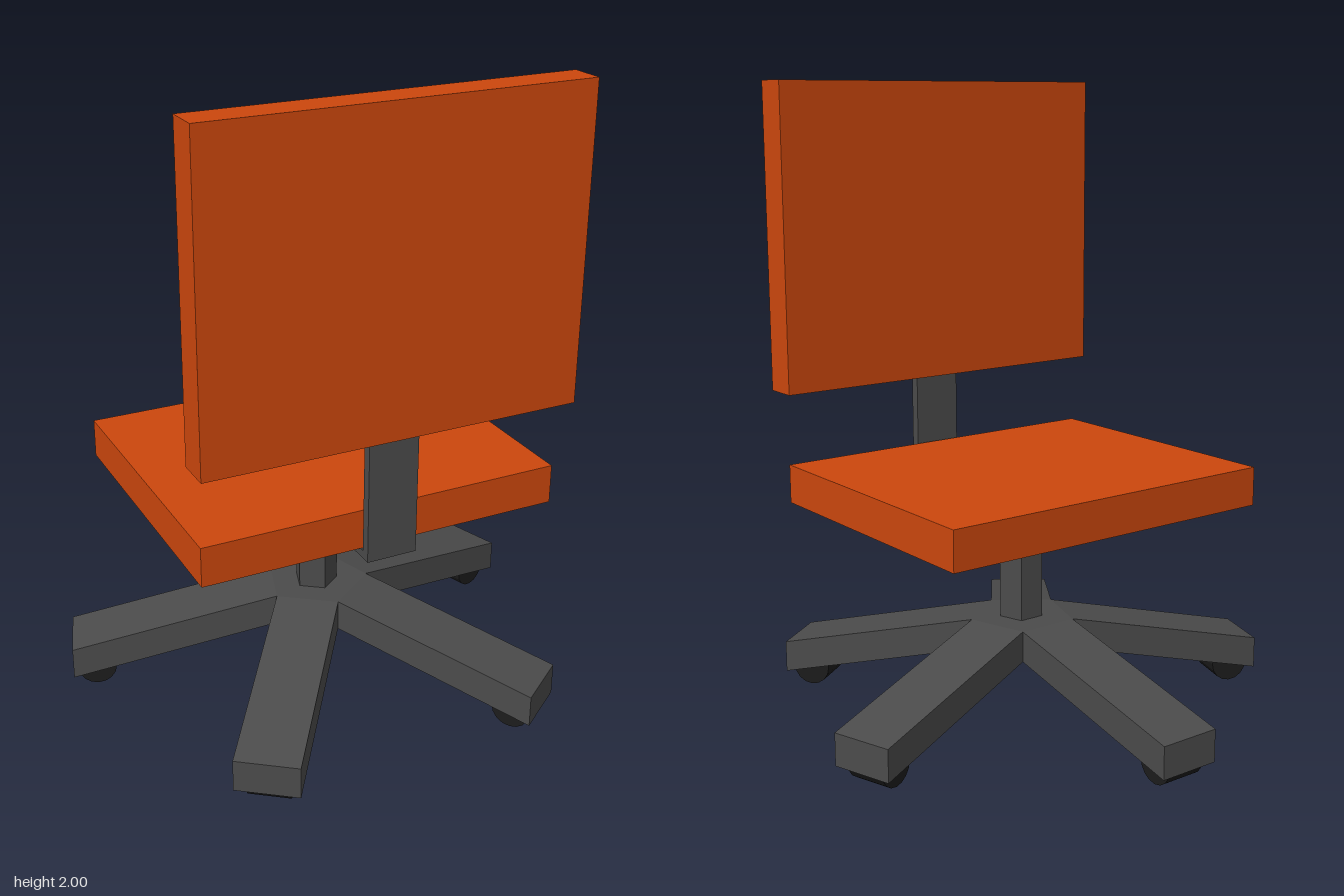
import * as THREE from 'three';

const orange = new THREE.MeshStandardMaterial({ color: 0xcc470d, flatShading: true });
const grey = new THREE.MeshStandardMaterial({ color: 0x4b4b4b, flatShading: true });
const black = new THREE.MeshStandardMaterial({ color: 0x1c1c1c, flatShading: true });

const AXIS_Z = 0.045; // column and star base centre
const LEGS = 5;
const LEG_HALF = 0.1;
const LEG_END = 0.8;
const HUB_R = LEG_HALF / Math.sin(Math.PI / LEGS);
const LEG_START = LEG_HALF / Math.tan(Math.PI / LEGS);

function add(parent, name, geometry, material, x = 0, y = 0, z = 0) {
  const mesh = new THREE.Mesh(geometry, material);
  mesh.name = name;
  mesh.position.set(x, y, z);
  parent.add(mesh);
  return mesh;
}

// box given by its width and its y and z ranges, centred on x = 0
function slab(parent, name, material, width, y0, y1, z0, z1) {
  const geometry = new THREE.BoxGeometry(width, y1 - y0, z1 - z0);
  return add(parent, name, geometry, material, 0, (y0 + y1) / 2, (z0 + z1) / 2);
}

// sloping leg profile, extruded across its width and pointing along +z
function legGeometry() {
  const shape = new THREE.Shape([
    new THREE.Vector2(LEG_START, 0.2),
    new THREE.Vector2(LEG_END, 0.05),
    new THREE.Vector2(LEG_END, 0.153),
    new THREE.Vector2(LEG_START, 0.3),
  ]);
  return new THREE.ExtrudeGeometry(shape, { depth: 2 * LEG_HALF, bevelEnabled: false })
    .translate(0, 0, -LEG_HALF)
    .rotateY(-Math.PI / 2);
}

export function createModel() {
  const chair = new THREE.Group();
  chair.name = 'officeChair';

  // cushions
  slab(chair, 'seat', orange, 1.16, 0.67, 0.795, -0.415, 0.51);
  slab(chair, 'backrest', orange, 1.195, 1.03, 2, 0.465, 0.575);

  // L-shaped bracket joining seat and backrest
  const bracket = new THREE.Group();
  bracket.name = 'backBracket';
  chair.add(bracket);
  slab(bracket, 'bracketUpright', grey, 0.16, 0.645, 1.035, 0.525, 0.555);
  slab(bracket, 'bracketFoot', grey, 0.16, 0.645, 0.67, 0.345, 0.525);

  // five-sided column
  add(chair, 'column', new THREE.CylinderGeometry(0.071, 0.071, 0.38, 5), grey, 0, 0.485, AXIS_Z + 0.004);

  // star base: pentagonal hub, legs growing from its faces
  const base = new THREE.Group();
  base.name = 'starBase';
  base.position.z = AXIS_Z;
  chair.add(base);
  add(base, 'hub', new THREE.CylinderGeometry(HUB_R, HUB_R, 0.1, LEGS), grey, 0, 0.25, 0);

  const legGeo = legGeometry();
  const wheelGeo = new THREE.CylinderGeometry(0.062, 0.062, 0.13, 16).rotateZ(Math.PI / 2);
  for (let i = 0; i < LEGS; i++) {
    const arm = new THREE.Group();
    arm.name = 'leg' + (i + 1);
    arm.rotation.y = Math.PI + (i * 2 * Math.PI) / LEGS;
    base.add(arm);
    add(arm, 'legBeam', legGeo, grey);
    add(arm, 'caster', wheelGeo, black, 0, 0.062, 0.724);
  }
  return chair;
}
